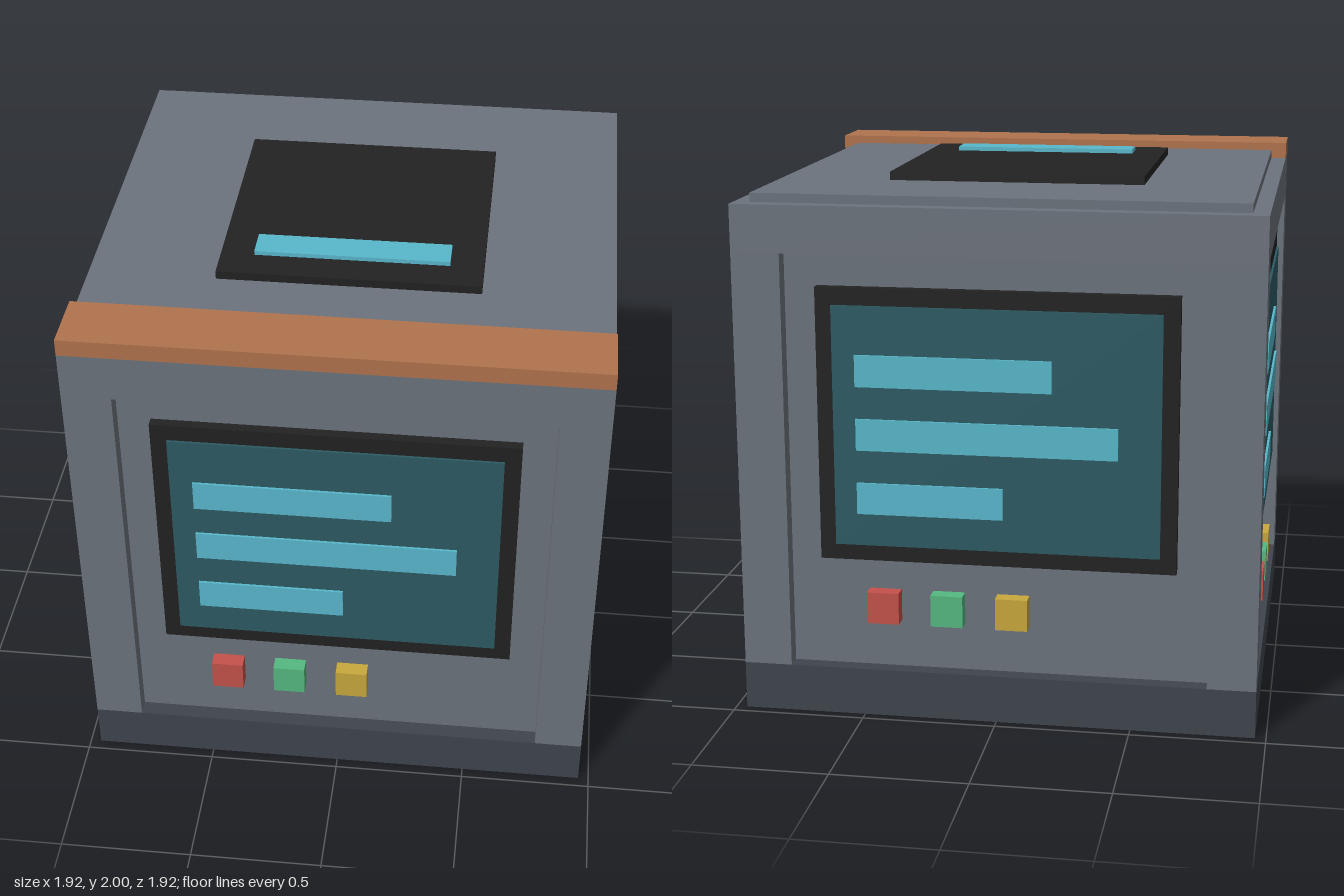
import * as THREE from 'three';

const mat = (name, color) => {
  const m = new THREE.MeshStandardMaterial({ color });
  m.name = name;
  return m;
};

export function createModel() {
  const M = {
    casing: mat('casing grey', 0x6c737d),
    base: mat('base slate', 0x3f444d),
    black: mat('bezel black', 0x222222),
    screen: mat('screen teal', 0x2c5a63),
    glow: mat('glow cyan', 0x58b8cc),
    copper: mat('copper trim', 0xb0734c),
    red: mat('button red', 0xc4524a),
    green: mat('button green', 0x55b880),
    yellow: mat('button yellow', 0xc8a83c),
  };

  // Box given by its extents on each axis
  const box = (parent, name, material, [x0, x1], [y0, y1], [z0, z1]) => {
    const mesh = new THREE.Mesh(new THREE.BoxGeometry(x1 - x0, y1 - y0, z1 - z0), material);
    mesh.position.set((x0 + x1) / 2, (y0 + y1) / 2, (z0 + z1) / 2);
    mesh.name = name;
    parent.add(mesh);
  };

  const model = new THREE.Group();
  model.name = 'terminalBlock';

  // Casing: base, inner core, corner posts and top rim form the recessed sides
  const full = [-0.96, 0.96];
  box(model, 'base', M.base, full, [0, 0.18], full);
  box(model, 'core', M.casing, [-0.9, 0.9], [0.18, 1.953], [-0.9, 0.9]);
  box(model, 'topRim', M.casing, full, [1.745, 1.92], full);
  const ends = [[-0.96, -0.78], [0.78, 0.96]];
  for (const x of ends) for (const z of ends) box(model, 'cornerPost', M.casing, x, [0.18, 1.745], z);

  // Top: front trim, dark plate and light strip
  box(model, 'frontTrim', M.copper, full, [1.92, 1.984], [0.72, 0.96]);
  box(model, 'topPlate', M.black, [-0.48, 0.48], [1.953, 1.984], [-0.48, 0.48]);
  box(model, 'topLight', M.glow, [-0.357, 0.357], [1.984, 2], [0.24, 0.357]);

  // The same screen and buttons on all four sides
  for (let i = 0; i < 4; i++) {
    const side = new THREE.Group();
    side.name = ['frontPanel', 'leftPanel', 'backPanel', 'rightPanel'][i];
    side.rotation.y = (i * Math.PI) / 2;
    model.add(side);

    box(side, 'bezel', M.black, [-0.66, 0.66], [0.602, 1.624], [0.9, 0.936]);
    box(side, 'screen', M.screen, [-0.6, 0.6], [0.662, 1.56], [0.936, 0.945]);
    [[0.205, 1.263], [0.445, 1.025], [0.027, 0.784]].forEach(([right, y]) =>
      box(side, 'screenLine', M.glow, [-0.515, right], [y, y + 0.118], [0.945, 0.954]));
    [[M.red, -0.425], [M.green, -0.185], [M.yellow, 0.057]].forEach(([m, x]) =>
      box(side, 'button', m, [x - 0.06, x + 0.06], [0.362, 0.482], [0.9, 0.957]));
  }
  return model;
}
